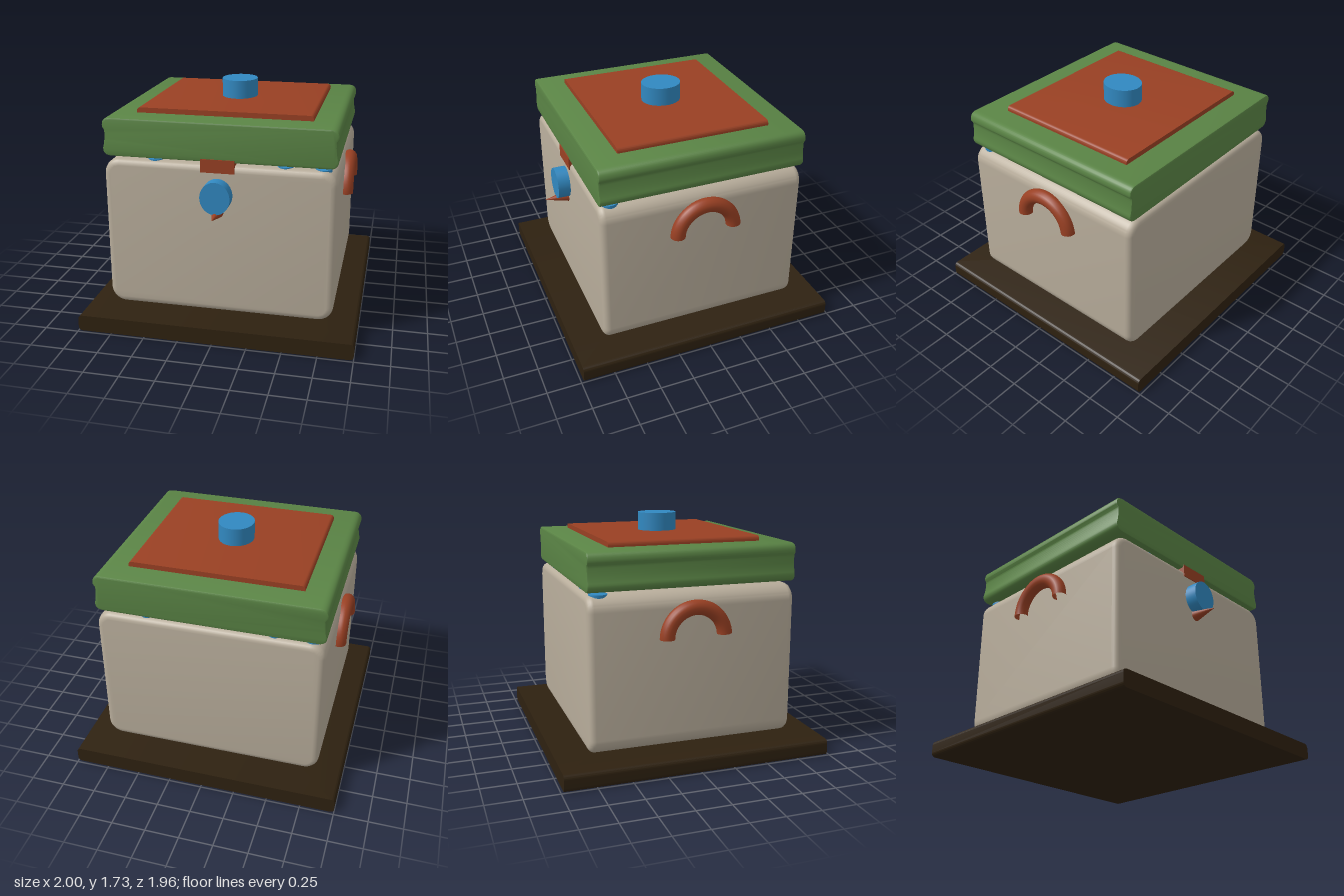
import * as THREE from 'three';
import { toCreasedNormals } from 'three/addons/utils/BufferGeometryUtils.js';

const material = (name, color, side = THREE.FrontSide) => {
  const m = new THREE.MeshStandardMaterial({ color, side });
  m.name = name;
  return m;
};

// Rounded rectangle in the XY plane
function roundedRect(w, y0, y1, r) {
  const s = new THREE.Shape();
  s.absarc(w - r, y0 + r, r, -Math.PI / 2, 0);
  s.absarc(w - r, y1 - r, r, 0, Math.PI / 2);
  s.absarc(-w + r, y1 - r, r, Math.PI / 2, Math.PI);
  s.absarc(-w + r, y0 + r, r, Math.PI, Math.PI * 1.5);
  s.closePath();
  return s;
}

// Profile extruded along z, centred, with bevelled ends inside the outline
function slab(shape, halfDepth, bevel = 0, bevelSegments = 4) {
  const g = new THREE.ExtrudeGeometry(shape, {
    depth: 2 * (halfDepth - bevel), curveSegments: 8,
    bevelEnabled: bevel > 0, bevelSize: bevel, bevelThickness: bevel,
    bevelOffset: -bevel, bevelSegments,
  });
  g.translate(0, 0, -(halfDepth - bevel));
  return toCreasedNormals(g, 0.6);
}

// Lid outline with pinched sides and a small ledge under the top rim
function lidShape() {
  const s = new THREE.Shape();
  s.moveTo(-0.765, 1.28);
  s.lineTo(0.765, 1.28);
  s.quadraticCurveTo(0.825, 1.28, 0.825, 1.335);
  s.quadraticCurveTo(0.808, 1.39, 0.81, 1.465);
  s.lineTo(0.825, 1.488);
  s.quadraticCurveTo(0.83, 1.555, 0.765, 1.555);
  s.lineTo(-0.765, 1.555);
  s.quadraticCurveTo(-0.83, 1.555, -0.825, 1.488);
  s.lineTo(-0.81, 1.465);
  s.quadraticCurveTo(-0.808, 1.39, -0.825, 1.335);
  s.quadraticCurveTo(-0.825, 1.28, -0.765, 1.28);
  return s;
}

export function createModel() {
  const model = new THREE.Group();
  const wood = material('dark wood', 0x2e2110);
  const stone = material('beige', 0xb8ad9b);
  const green = material('green', 0x5a8445);
  const rust = material('rust', 0x994023, THREE.DoubleSide);
  const blue = material('blue', 0x3188c0);

  const add = (name, geometry, mat, x = 0, y = 0, z = 0) => {
    const mesh = new THREE.Mesh(geometry, mat);
    mesh.name = name;
    mesh.position.set(x, y, z);
    model.add(mesh);
    return mesh;
  };

  // Base board, box body and lid
  add('base', slab(roundedRect(1, 0, 0.12, 0.03), 0.98), wood);
  add('body', slab(roundedRect(0.826, 0.147, 1.258, 0.11), 0.755, 0.045), stone);
  add('lid', slab(lidShape(), 0.755, 0.012, 2), green);

  // Plate with rounded upper edges and a knob
  const plate = new THREE.Shape();
  plate.moveTo(-0.63, 1.55);
  plate.lineTo(0.63, 1.55);
  plate.lineTo(0.63, 1.568);
  plate.quadraticCurveTo(0.627, 1.592, 0.6, 1.592);
  plate.lineTo(-0.6, 1.592);
  plate.quadraticCurveTo(-0.627, 1.592, -0.63, 1.568);
  plate.closePath();
  add('lidPlate', slab(plate, 0.56), rust);
  const knob = new THREE.CylinderGeometry(1, 1, 0.135, 48).scale(0.132, 1, 0.145);
  add('knob', knob, blue, 0, 1.6575, 0);

  // Front latch, round boss and pointed peg
  add('latch', new THREE.BoxGeometry(0.24, 0.095, 0.11), rust, 0, 1.253, 0.706);
  const boss = new THREE.CylinderGeometry(1, 1, 0.1, 48).rotateX(Math.PI / 2).scale(0.106, 0.117, 1);
  add('boss', boss, blue, 0, 1.048, 0.795);
  const peg = new THREE.ConeGeometry(0.046, 0.19, 16).rotateX(Math.PI / 2);
  add('peg', peg, rust, 0, 0.92, 0.835);

  // Arched side handles
  for (const s of [-1, 1]) {
    const arch = new THREE.TorusGeometry(0.21, 0.053, 16, 32, 3.08).rotateY(-s * Math.PI / 2);
    add(s > 0 ? 'leftHandle' : 'rightHandle', arch, rust, s * 0.843, 0.94, 0);
  }

  // Small spacer discs between body and lid
  const disc = new THREE.CylinderGeometry(1, 1, 0.022, 24).scale(0.058, 1, 0.065);
  for (const s of [-1, 1]) {
    for (const x of [-0.46, 0.46]) add('spacer', disc, blue, x, 1.254, s * 0.66);
    add('cornerSpacer', disc, blue, s * 0.72, 1.25, s * 0.66);
  }

  return model;
}
